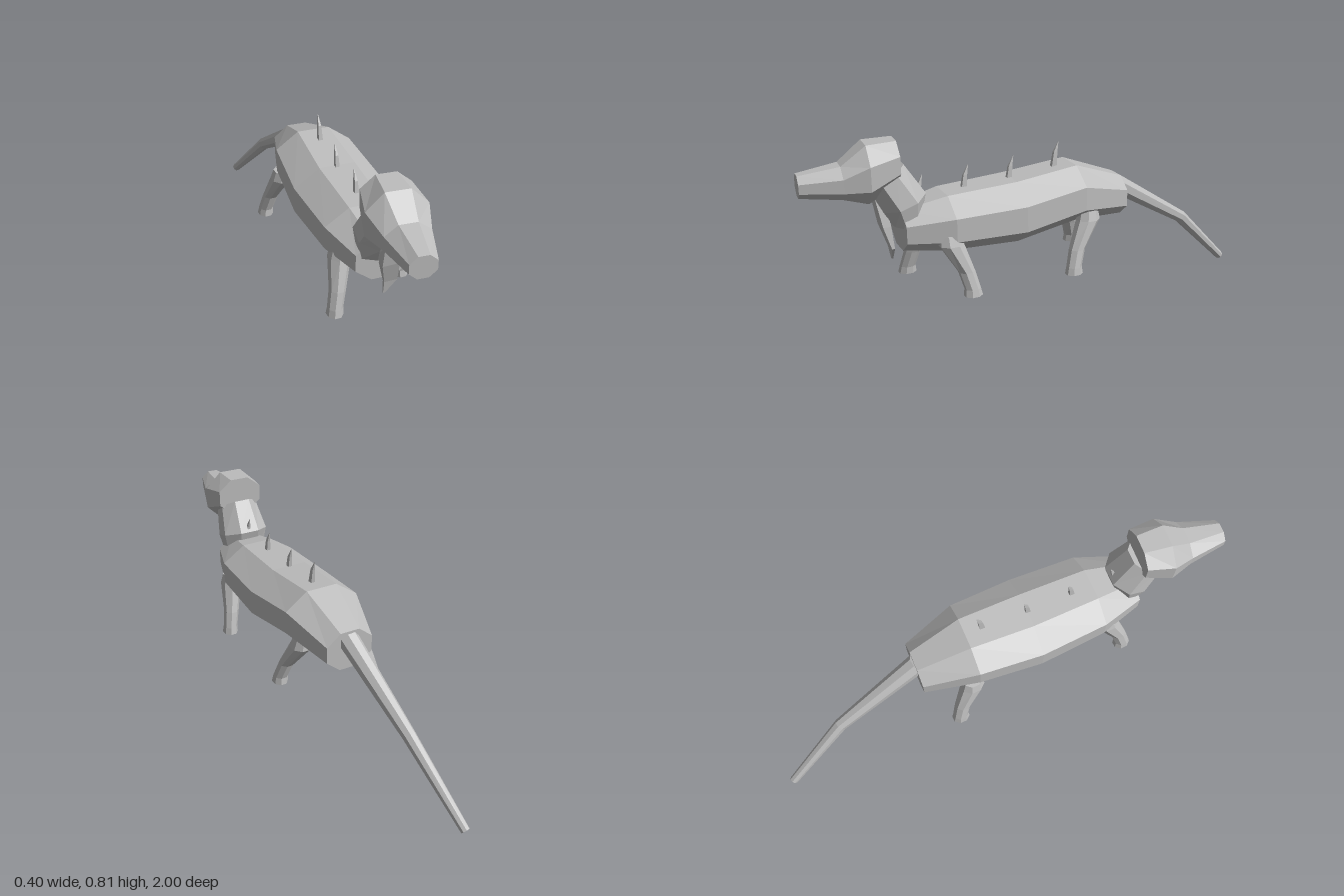
import * as THREE from 'three';

const hide = new THREE.MeshStandardMaterial({ color: 0xbdbdbd, flatShading: true });
hide.name = 'plainGrey';

// Closed faceted tube through rings [x, y, z, halfWidth, halfDepth].
// dir fixes the facing of every ring; without it rings follow the path.
function loft(name, rings, { dir = null, ref = [0, 1, 0], sides = 8 } = {}) {
  const centres = rings.map(r => new THREE.Vector3(r[0], r[1], r[2]));
  const up = new THREE.Vector3(...ref);
  const grow = 1 / Math.cos(Math.PI / sides);
  const loops = rings.map((r, i) => {
    const t = dir ? new THREE.Vector3(...dir)
      : centres[Math.min(i + 1, rings.length - 1)].clone().sub(centres[Math.max(i - 1, 0)]);
    t.normalize();
    const s = up.clone().cross(t).normalize();
    const u = t.clone().cross(s);
    return Array.from({ length: sides }, (_, k) => {
      const a = (k + 0.5) / sides * Math.PI * 2;
      return centres[i].clone()
        .addScaledVector(s, Math.cos(a) * r[3] * grow)
        .addScaledVector(u, Math.sin(a) * r[4] * grow);
    });
  });
  const points = [];
  const last = rings.length - 1;
  for (let k = 0; k < sides; k++) {
    const n = (k + 1) % sides;
    for (let i = 0; i < last; i++) {
      const a = loops[i][k], b = loops[i][n], c = loops[i + 1][n], d = loops[i + 1][k];
      points.push(a, b, c, a, c, d);
    }
    points.push(centres[0], loops[0][n], loops[0][k]);
    points.push(centres[last], loops[last][k], loops[last][n]);
  }
  const geometry = new THREE.BufferGeometry().setFromPoints(points);
  geometry.computeVertexNormals();
  const mesh = new THREE.Mesh(geometry, hide);
  mesh.name = name;
  return mesh;
}

export function createModel() {
  const model = new THREE.Group();
  model.name = 'longTailedCreature';

  // Long trunk, from rump to chest
  model.add(loft('body', [
    [0.02, 0.467, -0.333, 0.10, 0.083],
    [0.01, 0.513, -0.11, 0.16, 0.117],
    [0.003, 0.475, 0.16, 0.178, 0.125],
    [-0.004, 0.472, 0.45, 0.163, 0.112],
    [-0.015, 0.462, 0.63, 0.108, 0.082],
  ], { dir: [-0.05, 0, 1] }));

  // Neck leaning forward
  model.add(loft('neck', [
    [-0.015, 0.48, 0.605, 0.085, 0.05],
    [-0.015, 0.57, 0.61, 0.10, 0.088],
    [-0.02, 0.68, 0.675, 0.08, 0.08],
  ]));

  // Head tapering to a blunt snout, turned slightly aside
  model.add(loft('head', [
    [-0.018, 0.735, 0.63, 0.095, 0.08],
    [-0.03, 0.698, 0.745, 0.115, 0.113],
    [-0.036, 0.675, 0.84, 0.085, 0.064],
    [-0.058, 0.672, 0.995, 0.05, 0.043],
  ], { dir: [-0.1, 0, 1] }));

  // Thin beard under the chin
  model.add(loft('beard', [
    [-0.028, 0.60, 0.705, 0.026, 0.018],
    [-0.02, 0.48, 0.685, 0.034, 0.016],
    [-0.005, 0.39, 0.667, 0.026, 0.006],
    [-0.025, 0.335, 0.66, 0.004, 0.003],
  ], { dir: [0, -1, 0], ref: [0, 0, 1], sides: 4 }));

  // Drooping tail
  model.add(loft('tail', [
    [0.02, 0.51, -0.32, 0.04, 0.04],
    [-0.008, 0.282, -0.70, 0.025, 0.026],
    [-0.067, 0.016, -0.988, 0.017, 0.017],
  ]));

  // Legs: [name, side, hip z, foot z, hip y]
  const legs = [
    ['frontLeftLeg', 1, 0.475, 0.405, 0.42],
    ['frontRightLeg', -1, 0.475, 0.55, 0.42],
    ['backLeftLeg', 1, -0.14, -0.045, 0.42],
    ['backRightLeg', -1, -0.14, -0.225, 0.42],
  ];
  for (const [name, side, hipZ, footZ, hipY] of legs) {
    const z = f => hipZ + (footZ - hipZ) * f;
    model.add(loft(name, [
      [side * 0.118, hipY + 0.03, hipZ, 0.034, 0.038],
      [side * 0.124, hipY - 0.01, z(0.05), 0.04, 0.047],
      [side * 0.152, 0.30, z(0.75), 0.03, 0.031],
      [side * 0.168, 0.232, z(0.98), 0.028, 0.03],
      [side * 0.171, 0.203, z(1), 0.03, 0.035],
    ], { dir: [0, -1, 0], ref: [0, 0, 1] }));
  }

  // Row of back spikes: [x, base y, base z]
  const spikes = [[-0.01, 0.56, 0.55], [-0.005, 0.575, 0.36], [0, 0.585, 0.165], [0.01, 0.62, -0.035]];
  spikes.forEach(([x, y, z], i) => {
    model.add(loft('backSpike' + (i + 1), [
      [x, y, z, 0.009, 0.011],
      [x, y + 0.06, z - 0.008, 0.006, 0.008],
      [x, y + 0.1, z - 0.022, 0.001, 0.001],
    ], { dir: [0, 1, 0], ref: [0, 0, 1], sides: 4 }));
  });

  return model;
}
